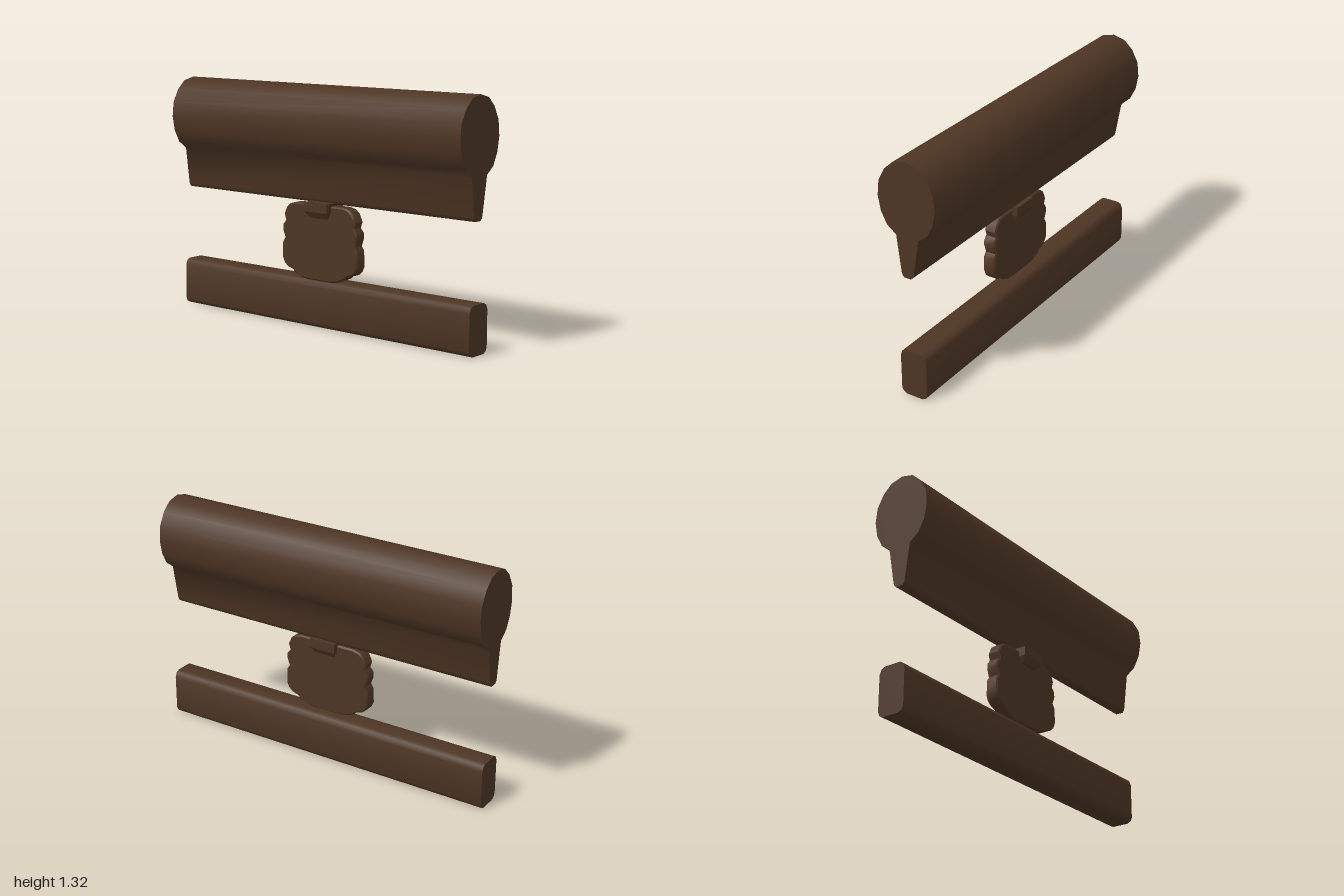
import * as THREE from 'three';
import { toCreasedNormals } from 'three/addons/utils/BufferGeometryUtils.js';

const toShape = (pts) => new THREE.Shape(pts.map(([x, y]) => new THREE.Vector2(x, y)));

// Extrude an x/y profile along z, from zBack to zFront
function railGeometry(pts, zBack, zFront) {
  const geo = new THREE.ExtrudeGeometry(toShape(pts), { depth: zFront - zBack, bevelEnabled: false });
  geo.translate(0, 0, zBack);
  return toCreasedNormals(geo, 1.0);
}

export function createModel() {
  const group = new THREE.Group();
  const wood = new THREE.MeshStandardMaterial({ color: 0x4d3524 });
  wood.name = 'dark wood';

  const add = (name, geo) => {
    const mesh = new THREE.Mesh(geo, wood);
    mesh.name = name;
    group.add(mesh);
  };

  // Teardrop handrail: round top, tapering web below
  const half = [[0.07, 1.298], [0.121, 1.251], [0.159, 1.18], [0.168, 1.098],
    [0.153, 1.018], [0.119, 0.951], [0.066, 0.911]];
  const left = half.map(([x, y]) => [-x, y]).reverse();
  add('topRail', railGeometry([[0, 1.315], ...half,
    [0.031, 0.712], [0.025, 0.695], [0.014, 0.685], [-0.028, 0.685], [-0.036, 0.695], [-0.041, 0.708],
    ...left], -0.99, 1));

  // Lower rail with softened corners
  add('bottomRail', railGeometry([[-0.068, 0.03], [-0.06, 0.012], [-0.036, 0], [0.058, 0], [0.078, 0.01],
    [0.088, 0.032], [0.088, 0.226], [0.077, 0.253], [0.055, 0.263], [-0.04, 0.263],
    [-0.058, 0.252], [-0.068, 0.225]], -1, 1));

  // Scalloped medallion between the rails, outline mirrored about its middle
  const b = 0.008;
  const side = [[0.172, 0.674], [0.205, 0.665], [0.231, 0.645], [0.25, 0.603], [0.239, 0.569], [0.259, 0.545],
    [0.261, 0.515], [0.245, 0.472], [0.262, 0.447], [0.264, 0.362], [0.252, 0.335], [0.228, 0.314],
    [0.19, 0.302], [0.175, 0.288], [0.12, 0.265], [0.08, 0.26]];
  const outline = [...side, ...side.map(([x, y]) => [-x, y]).reverse()];
  const medallion = new THREE.ExtrudeGeometry(toShape(outline), {
    depth: 0.073 - 2 * b, bevelEnabled: true, bevelSize: b, bevelThickness: b, bevelOffset: -b, bevelSegments: 1,
  });
  medallion.rotateY(Math.PI / 2).translate(-0.058 + b, 0, 0.005);
  add('medallion', toCreasedNormals(medallion, 0.7));

  // Small bracket block, narrowed at its lower end
  const block = new THREE.BoxGeometry(0.14, 0.085, 0.156, 1, 2, 1);
  const p = block.attributes.position;
  for (let i = 0; i < p.count; i++) {
    const y = p.getY(i);
    if (y < -0.01) p.setXYZ(i, p.getX(i) * 0.68, y, p.getZ(i) * 0.76);
    else if (y < 0.01) p.setY(i, -0.008);
  }
  block.translate(-0.025, 0.6475, 0.013);
  const bracket = block.toNonIndexed();
  bracket.computeVertexNormals();
  add('bracket', bracket);

  return group;
}
